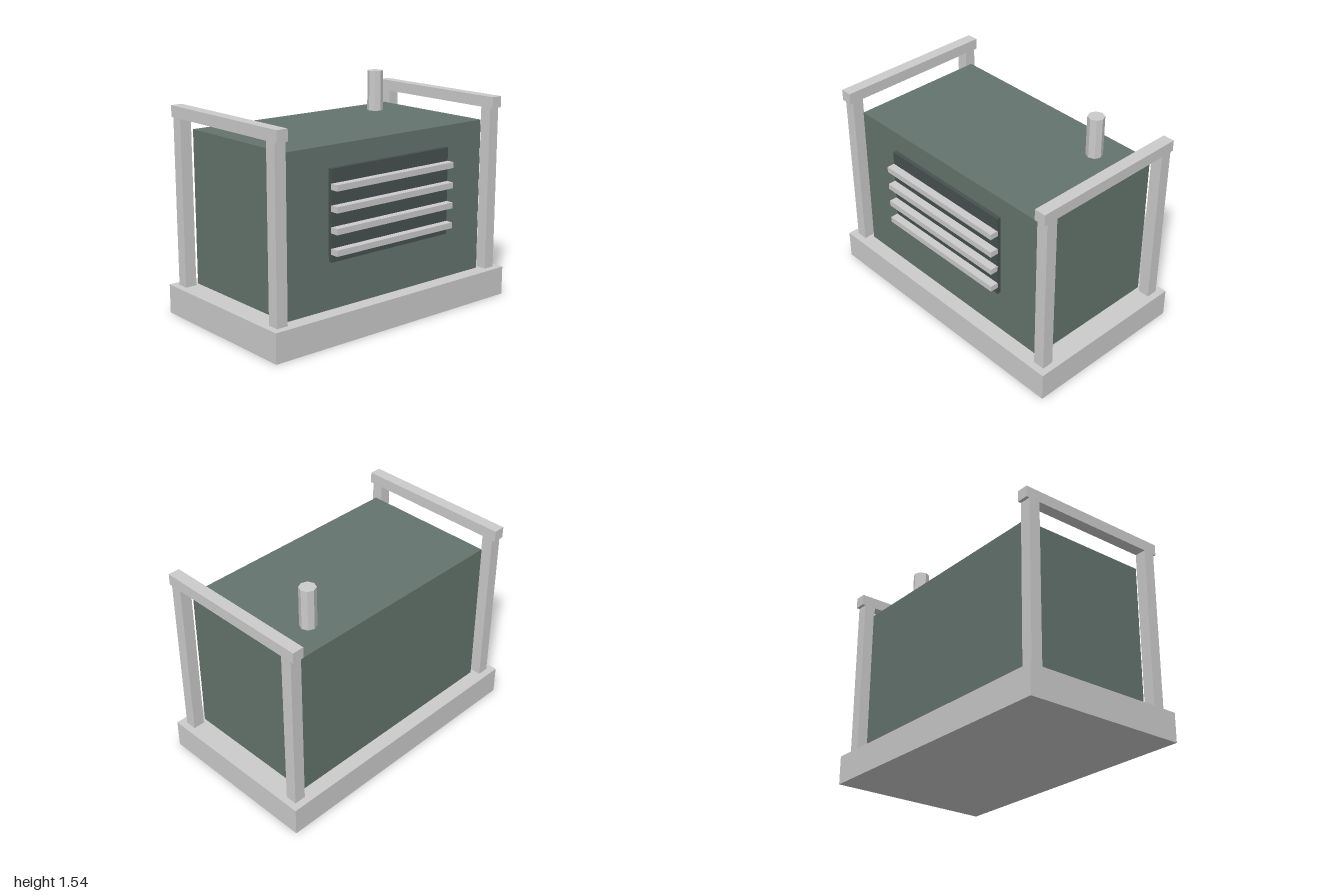
import * as THREE from 'three';

export function createModel() {
  const group = new THREE.Group();
  const grey = new THREE.MeshStandardMaterial({ color: 0xcccccc, flatShading: true });
  const green = new THREE.MeshStandardMaterial({ color: 0x64746d, flatShading: true });
  const dark = new THREE.MeshStandardMaterial({ color: 0x475150, flatShading: true });

  const add = (name, geometry, material, x, y, z) => {
    const mesh = new THREE.Mesh(geometry, material);
    mesh.name = name;
    mesh.position.set(x, y, z);
    group.add(mesh);
  };
  const box = (name, material, w, h, d, x, y, z) =>
    add(name, new THREE.BoxGeometry(w, h, d), material, x, y, z);

  // Base slab and housing
  box('base', grey, 2, 0.2, 1.184, 0, 0.1, 0);
  box('housing', green, 1.686, 1.057, 0.972, 0, 0.7285, 0);

  // Front vent: dark panel with four slats
  box('ventPanel', dark, 1.006, 0.597, 0.04, 0, 0.8165, 0.494);
  for (let i = 0; i < 4; i++) {
    box('ventSlat', grey, 1.006, 0.04, 0.06, 0, 0.589 + i * 0.138, 0.539);
  }

  // End frames: two posts and a top rail on each side
  for (const sx of [-1, 1]) {
    for (const sz of [-1, 1]) {
      box('framePost', grey, 0.081, 1.14, 0.081, sx * 0.913, 0.77, sz * 0.502);
    }
    box('frameRail', grey, 0.081, 0.077, 1.13, sx * 0.913, 1.3785, 0);
  }

  // Exhaust stack
  add('exhaustStack', new THREE.CylinderGeometry(0.056, 0.056, 0.29, 8), grey, 0.56, 1.395, -0.275);

  return group;
}
